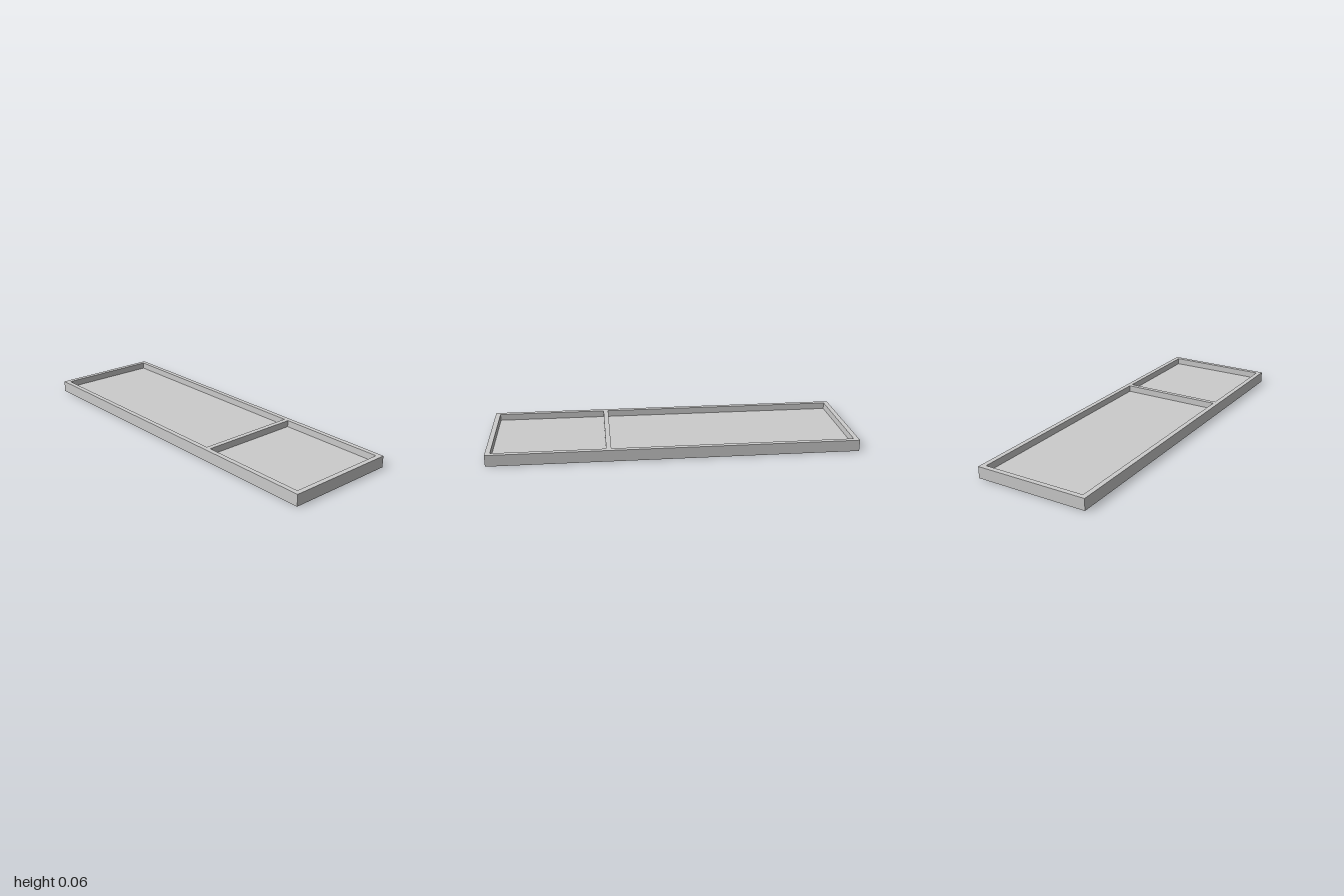
import * as THREE from 'three';

const WIDTH = 2, DEPTH = 0.626, HEIGHT = 0.063;
const WALL = 0.027, FLOOR = 0.027;
const DIVIDER_X = 0.356;

// Axis-aligned rectangle, traced point by point
function rectangle(target, x0, x1, y0, y1) {
  target.moveTo(x0, y0);
  target.lineTo(x1, y0);
  target.lineTo(x1, y1);
  target.lineTo(x0, y1);
  target.closePath();
  return target;
}

export function createModel() {
  const tray = new THREE.Group();
  tray.name = 'dividedTray';
  const material = new THREE.MeshStandardMaterial({ color: 0xcccccc });
  const x = WIDTH / 2, z = DEPTH / 2;

  // Extrudes a flat plan upward from y0 to y1
  const addSlab = (name, shape, y0, y1) => {
    const geometry = new THREE.ExtrudeGeometry(shape, { depth: y1 - y0, bevelEnabled: false });
    geometry.rotateX(-Math.PI / 2).translate(0, y0, 0);
    const mesh = new THREE.Mesh(geometry, material);
    mesh.name = name;
    tray.add(mesh);
  };

  // Rim and divider: one frame with a large and a small compartment
  const frame = rectangle(new THREE.Shape(), -x, x, -z, z);
  const compartments = [
    [-x + WALL, DIVIDER_X - WALL / 2],
    [DIVIDER_X + WALL / 2, x - WALL],
  ];
  for (const [x0, x1] of compartments) {
    frame.holes.push(rectangle(new THREE.Path(), x0, x1, -z + WALL, z - WALL));
  }
  addSlab('rimAndDivider', frame, 0, HEIGHT);

  // Floor panel closing each compartment, flush with the underside
  compartments.forEach(([x0, x1], i) => {
    const panel = rectangle(new THREE.Shape(), x0, x1, -z + WALL, z - WALL);
    addSlab(i ? 'smallCompartmentFloor' : 'largeCompartmentFloor', panel, 0, FLOOR);
  });

  return tray;
}
